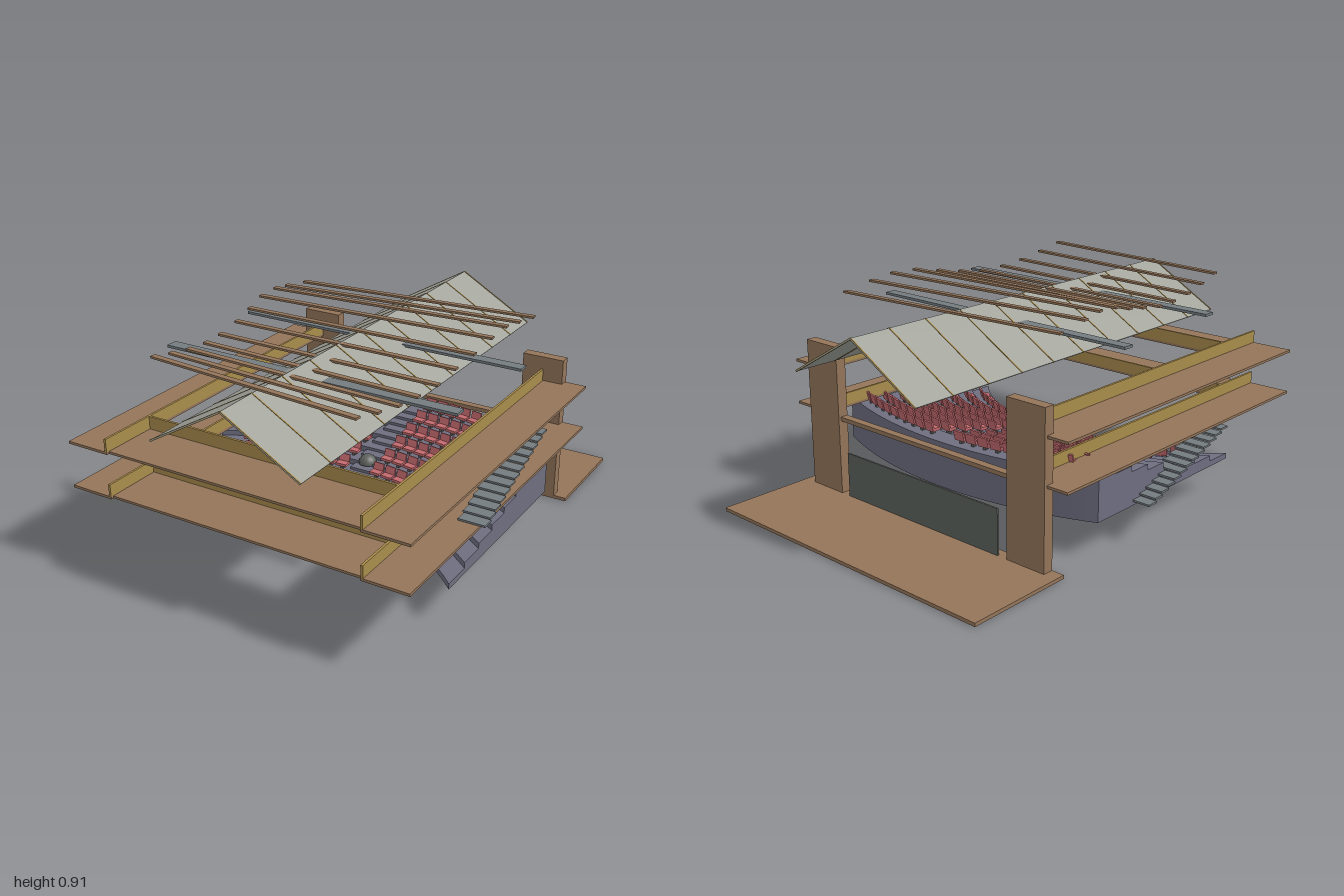
import * as THREE from 'three';

const mat = (color) => new THREE.MeshStandardMaterial({ color });
const wood = mat(0x94755a), ochre = mat(0xa98c4c), steel = mat(0x747c80), glass = mat(0xa2a49c);
const concrete = mat(0x6e6e80), red = mat(0xc46a6e), dark = mat(0x5d625e);

function add(parent, name, geometry, material, x = 0, y = 0, z = 0) {
  const mesh = new THREE.Mesh(geometry, material);
  mesh.name = name;
  mesh.position.set(x, y, z);
  parent.add(mesh);
  return mesh;
}

// box given by its limits on each axis
function block(parent, name, material, x0, x1, y0, y1, z0, z1) {
  return add(parent, name, new THREE.BoxGeometry(x1 - x0, y1 - y0, z1 - z0), material,
    (x0 + x1) / 2, (y0 + y1) / 2, (z0 + z1) / 2);
}

function group(parent, name) {
  const g = new THREE.Group();
  g.name = name;
  parent.add(g);
  return g;
}

// seating bowl: rows are arcs around (0, CZ)
const CZ = 1.3, R0 = 1.0, R1 = 1.755, ROWS = 8, HALF = 0.705, BASE = 0.145;
const STEP = (R1 - R0) / ROWS, RISE = (0.34 - BASE) / ROWS;
const arcZ = (r, x) => CZ - Math.sqrt(r * r - x * x);

function tierGeometry(rIn, rOut, half, height) {
  const pts = [], n = 28;
  for (let i = 0; i <= n; i++) {
    const x = -half + (2 * half * i) / n;
    pts.push(new THREE.Vector2(x, -arcZ(rIn, x)));
  }
  for (let i = n; i >= 0; i--) {
    const x = -half + (2 * half * i) / n;
    pts.push(new THREE.Vector2(x, -arcZ(rOut, x)));
  }
  const g = new THREE.ExtrudeGeometry(new THREE.Shape(pts), { depth: height, bevelEnabled: false });
  return g.rotateX(-Math.PI / 2);
}

function buildSeating(root) {
  const bowl = group(root, 'seatingBowl');
  const cushion = new THREE.BoxGeometry(0.05, 0.012, 0.034);
  const back = new THREE.BoxGeometry(0.05, 0.045, 0.008);
  const leg = new THREE.BoxGeometry(0.012, 0.02, 0.02);
  for (let i = 0; i < ROWS; i++) {
    const r = R0 + i * STEP, top = BASE + (i + 1) * RISE;
    add(bowl, 'tier', tierGeometry(r, R1, HALF, RISE), concrete, 0, top - RISE, 0);
    // half-height aisle step in front of each tier
    if (i > 0) block(bowl, 'aisleStep', concrete, -0.05, 0.05, top - RISE, top - RISE / 2,
      arcZ(r, 0) - 0.01, arcZ(r, 0) + STEP / 2);
    // seats on both sides of the aisle, turned to the stage
    for (const side of [-1, 1]) for (let k = 0; k < 9; k++) {
      const x = side * (0.085 + k * 0.0595), z = arcZ(r + 0.045, x);
      const seat = group(bowl, 'seat');
      seat.position.set(x, top, z);
      seat.rotation.y = Math.atan2(-x, CZ - z);
      add(seat, 'seatLeg', leg, dark, 0, 0.01, 0);
      add(seat, 'seatCushion', cushion, red, 0, 0.022, 0.003);
      add(seat, 'seatBack', back, red, 0, 0.036, -0.018).rotation.x = -0.25;
    }
  }
  // small dome in the middle of the aisle and marker lamps by the front corners
  add(bowl, 'aisleDome', new THREE.SphereGeometry(0.04, 16, 8, 0, Math.PI * 2, 0, Math.PI / 2), dark, 0, 0.235, 0.0);
  for (const s of [-1, 1]) block(bowl, 'markerLamp', dark, s * 0.545 - 0.003, s * 0.545 + 0.003, 0.146, 0.152, 0.585, 0.605);
}

// U-shaped gallery with an ochre parapet on its inner edge
function buildGallery(root, y, railTop) {
  const g = group(root, 'gallery');
  for (const s of [-1, 1]) {
    const [a, b] = s > 0 ? [0.565, 0.76] : [-0.76, -0.565];
    block(g, 'sideFloor', wood, a, b, y - 0.005, y + 0.006, -0.56, 0.99);
    block(g, 'sideParapet', ochre, s * 0.57 - 0.005, s * 0.57 + 0.005, y + 0.006, railTop, -0.52, 0.99);
  }
  block(g, 'frontFloor', wood, -0.565, 0.565, y - 0.005, y + 0.005, 0.73, 0.978);
  block(g, 'frontParapet', ochre, -0.565, 0.565, y + 0.005, railTop, 0.73, 0.74);
}

function buildRoof(root) {
  const roof = group(root, 'gableRoof');
  const halfW = 0.333, ridge = 0.86, eave = 0.668, z0 = -0.89, z1 = 1;
  const len = Math.hypot(halfW, ridge - eave), tilt = Math.atan2(ridge - eave, halfW);
  for (const s of [-1, 1]) {
    const slope = group(roof, 'roofSlope');
    slope.position.set((s * halfW) / 2, (ridge + eave) / 2, 0);
    slope.rotation.z = -s * tilt;
    add(slope, 'roofPanel', new THREE.BoxGeometry(len, 0.004, z1 - z0), glass, 0, 0, (z0 + z1) / 2);
    for (let i = 0; i <= 10; i++) {
      const z = z0 + 0.003 + ((z1 - z0 - 0.006) * i) / 10;
      add(slope, 'roofRib', new THREE.BoxGeometry(len, 0.008, 0.006), ochre, 0, 0, z);
    }
  }
}

function buildBattens(root) {
  const g = group(root, 'ceilingBattens');
  // half length, height, z at the left end, z at the right end
  const rows = [
    [0.55, 0.87, -0.35, -0.445], [0.55, 0.893, -0.205, -0.30], [0.545, 0.908, -0.11, -0.185],
    [0.545, 0.902, -0.005, -0.05], [0.535, 0.877, 0.095, 0.085], [0.52, 0.856, 0.21, 0.21],
    [0.515, 0.838, 0.33, 0.345], [0.505, 0.838, 0.44, 0.48], [0.5, 0.85, 0.555, 0.608],
    [0.492, 0.872, 0.668, 0.738], [0.482, 0.898, 0.782, 0.865],
  ];
  for (const [half, y, za, zb] of rows) {
    const length = Math.hypot(2 * half, zb - za);
    add(g, 'batten', new THREE.BoxGeometry(length, 0.009, 0.025), wood, 0, y, (za + zb) / 2)
      .rotation.y = -Math.atan2(zb - za, 2 * half);
  }
  block(g, 'lightingBar', steel, -0.665, 0.665, 0.779, 0.79, -0.115, -0.065);
  block(g, 'lightingBar', steel, -0.665, 0.665, 0.8, 0.811, 0.435, 0.487);
}

// straight flight of separate treads
function buildStairs(root, name, x0, x1, yA, zA, yB, zB) {
  const g = group(root, name), n = 13;
  for (let i = 0; i < n; i++) {
    const t = i / (n - 1), y = yA + (yB - yA) * t, z = zA + (zB - zA) * t;
    block(g, 'tread', steel, x0, x1, y - 0.004, y + 0.004, z - 0.026, z + 0.026);
  }
}

export function createModel() {
  const root = new THREE.Group();
  root.name = 'theatre';

  // rear foyer floor, piers, screen wall and link beam
  block(root, 'foyerFloor', wood, -0.72, 0.72, 0, 0.015, -1, -0.525);
  for (const s of [-1, 1]) {
    const [a, b] = s > 0 ? [0.477, 0.663] : [-0.663, -0.477];
    block(root, 'pier', wood, a, b, 0.015, 0.667, -0.572, -0.525);
  }
  block(root, 'screenWall', dark, -0.43, 0.43, 0.015, 0.21, -0.572, -0.564);
  block(root, 'linkBeam', wood, -0.57, 0.57, 0.34, 0.358, -0.56, -0.525);

  buildSeating(root);
  buildGallery(root, 0.36, 0.418);
  buildGallery(root, 0.552, 0.612);
  buildRoof(root);
  buildBattens(root);
  buildStairs(root, 'upperStairs', 0.668, 0.782, 0.37, 0.435, 0.545, -0.06);
  buildStairs(root, 'lowerStairs', -0.782, -0.668, 0.345, 0.435, 0.165, -0.06);
  return root;
}
